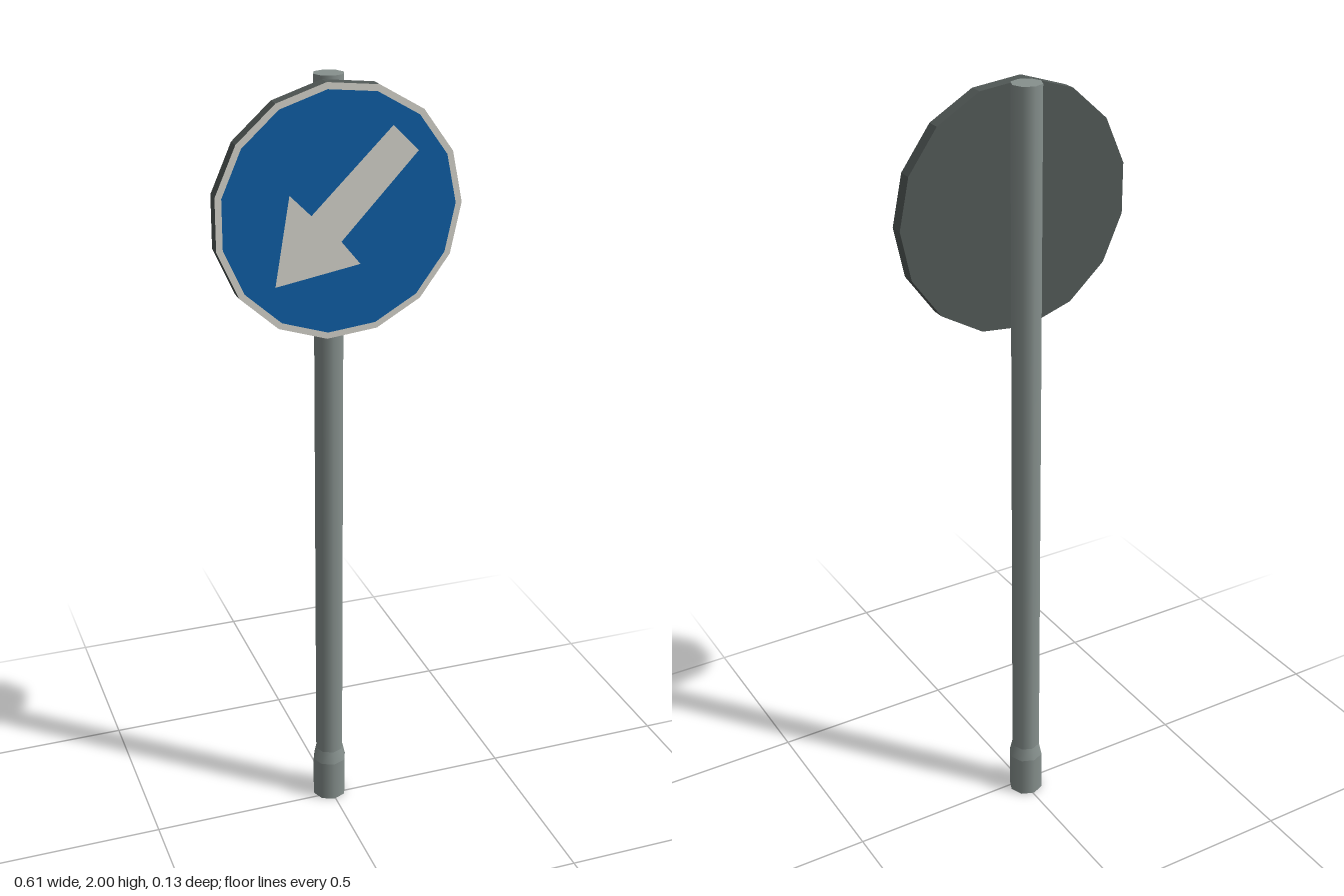
import * as THREE from 'three';

const material = (name, color) => {
  const m = new THREE.MeshStandardMaterial({ color });
  m.name = name;
  return m;
};

export function createModel() {
  const steel = material('galvanised steel', 0x87918e);
  const backing = material('dark backing', 0x525957);
  const blue = material('sign blue', 0x0f5fa6);
  const white = material('off white', 0xd6d4cc);

  const model = new THREE.Group();
  model.name = 'roadSign';
  const add = (parent, name, geometry, mat) => {
    const mesh = new THREE.Mesh(geometry, mat);
    mesh.name = name;
    parent.add(mesh);
    return mesh;
  };

  // Eight-sided post: wide foot, tapered collar, slim shaft
  const post = new THREE.Group();
  post.name = 'post';
  post.position.set(-0.003, 0, -0.0185);
  model.add(post);
  const section = (name, rBottom, rTop, y0, y1, open) => {
    const g = new THREE.CylinderGeometry(rTop, rBottom, y1 - y0, 8, 1, open);
    add(post, name, g.translate(0, (y0 + y1) / 2, 0), steel);
  };
  section('postFoot', 0.046, 0.046, 0, 0.115, false);
  section('postCollar', 0.046, 0.038, 0.115, 0.15, true);
  section('postShaft', 0.038, 0.038, 0.15, 2, false);

  // Fifteen-sided sign plate, with a corner pointing to +x
  const sign = new THREE.Group();
  sign.name = 'sign';
  sign.position.set(-0.003, 1.69, 0);
  model.add(sign);
  const sides = 15, radius = 0.308;
  let plate = new THREE.CylinderGeometry(radius, radius, 0.035, sides, 1, false, Math.PI / 2);
  plate = plate.rotateX(Math.PI / 2).translate(0, 0, 0.0455).toNonIndexed();
  plate.computeVertexNormals();
  // Rim, front border and back
  add(sign, 'signPlate', plate, [backing, white, backing]);

  // Blue face, leaving the white border visible
  add(sign, 'blueFace', new THREE.CircleGeometry(0.292, sides).translate(0, 0, 0.0637), blue);

  // Arrow pointing down to the viewer's left
  const outline = [
    [-0.161, -0.163], [0.051, -0.127], [0.003, -0.068], [0.194, 0.134],
    [0.130, 0.198], [-0.071, 0.001], [-0.124, 0.054],
  ].map(([x, y]) => new THREE.Vector2(x, y));
  add(sign, 'arrow', new THREE.ShapeGeometry(new THREE.Shape(outline)).translate(0, 0, 0.0645), white);

  return model;
}
